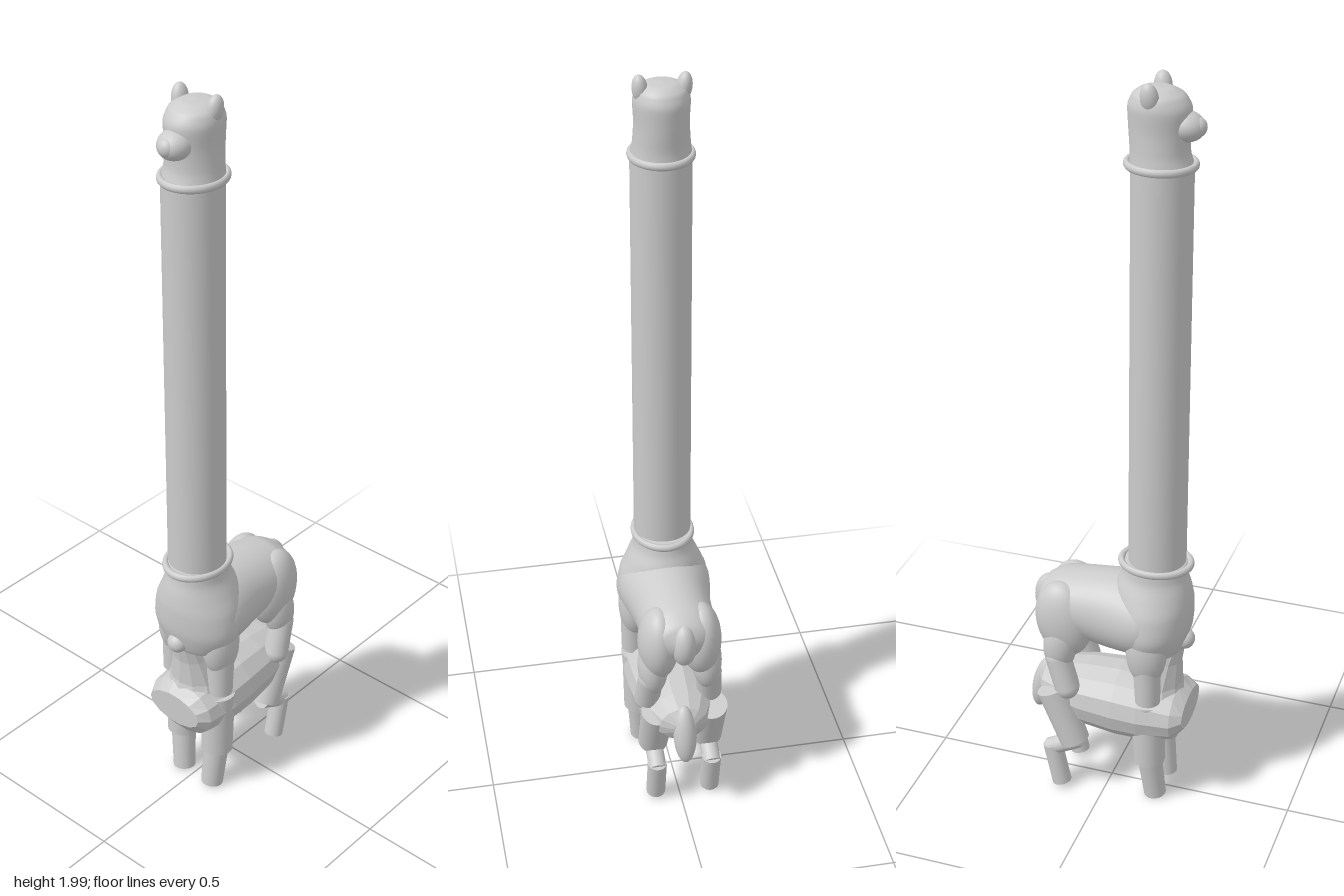
import * as THREE from 'three';

const smooth = new THREE.MeshStandardMaterial({ color: 0xcccccc });
const faceted = new THREE.MeshStandardMaterial({ color: 0xcccccc, flatShading: true });

// Closed skin over elliptical sections [station, centre, halfWidth, halfDepth].
// axis 'y': stations rise in y, centre is z.  axis 'z': stations run backwards in z, centre is y.
function loft(axis, sections, sides, steps) {
  const a = new THREE.CatmullRomCurve3(sections.map(s => new THREE.Vector3(s[0], s[1], 0)));
  const b = new THREE.CatmullRomCurve3(sections.map(s => new THREE.Vector3(s[2], s[3], 0)));
  const rows = (sections.length - 1) * steps;
  const pos = [], idx = [];
  const put = (x, station, v) => axis === 'y' ? pos.push(x, station, v) : pos.push(x, v, station);
  const ends = [];
  for (let i = 0; i <= rows; i++) {
    const p = a.getPoint(i / rows), r = b.getPoint(i / rows);
    if (i === 0 || i === rows) ends.push(p);
    for (let j = 0; j < sides; j++) {
      const t = (j / sides) * Math.PI * 2;
      put(r.x * Math.cos(t), p.x, p.y + r.y * Math.sin(t));
    }
  }
  ends.forEach(p => put(0, p.x, p.y));
  const first = (rows + 1) * sides, last = first + 1;
  for (let j = 0; j < sides; j++) {
    const k = (j + 1) % sides;
    for (let i = 0; i < rows; i++) {
      const p = i * sides + j, q = i * sides + k;
      idx.push(p, p + sides, q, q, p + sides, q + sides);
    }
    idx.push(first, j, k, last, rows * sides + k, rows * sides + j);
  }
  const g = new THREE.BufferGeometry();
  g.setAttribute('position', new THREE.Float32BufferAttribute(pos, 3));
  g.setIndex(idx);
  g.computeVertexNormals();
  return g;
}

export function createModel() {
  const model = new THREE.Group();
  const add = (name, geometry, material = smooth) => {
    const mesh = new THREE.Mesh(geometry, material);
    mesh.name = name;
    model.add(mesh);
    return mesh;
  };
  const blob = (name, [x, y, z], [rx, ry, rz], tilt = 0) => {
    const m = add(name, new THREE.SphereGeometry(1, 28, 20));
    m.position.set(x, y, z);
    m.scale.set(rx, ry, rz);
    m.rotation.x = tilt;
    return m;
  };
  // Cylinder or capsule running between two points
  const limb = (name, from, to, r0, r1 = r0, round = false) => {
    const p = new THREE.Vector3(...from), q = new THREE.Vector3(...to);
    const d = q.clone().sub(p), len = d.length();
    const g = round ? new THREE.CapsuleGeometry(r0, len, 8, 20)
      : new THREE.CylinderGeometry(r1, r0, len, 24);
    const m = add(name, g);
    m.position.copy(p).add(q).multiplyScalar(0.5);
    m.quaternion.setFromUnitVectors(new THREE.Vector3(0, 1, 0), d.normalize());
  };
  const collar = (name, y, z, rx, rz) => {
    const g = new THREE.TorusGeometry(1, 0.1, 12, 48).rotateX(Math.PI / 2);
    const m = add(name, g);
    m.position.set(0, y, z);
    m.scale.set(rx / 1.1, 0.1, rz / 1.1);
  };

  // Long neck with a collar at each end
  add('neck', new THREE.CylinderGeometry(0.075, 0.075, 1.1, 48)).position.set(0, 1.25, 0.123);
  collar('lowerCollar', 0.722, 0.12, 0.084, 0.1);
  collar('upperCollar', 1.797, 0.12, 0.082, 0.09);

  // Head
  add('head', loft('y', [
    [1.79, 0.122, 0.075, 0.078], [1.83, 0.117, 0.069, 0.071], [1.88, 0.115, 0.066, 0.073],
    [1.93, 0.115, 0.068, 0.076], [1.962, 0.112, 0.06, 0.062], [1.977, 0.108, 0.035, 0.036],
    [1.98, 0.108, 0.004, 0.004]], 36, 5));
  blob('muzzle', [0, 1.893, 0.178], [0.042, 0.036, 0.046], 0.15);
  blob('nose', [0, 1.893, 0.205], [0.024, 0.024, 0.023]);
  for (const s of [-1, 1]) {
    blob('ear', [s * 0.052, 1.965, 0.106], [0.019, 0.036, 0.022], -0.1).rotation.z = -s * 0.12;
  }

  // Upper animal: trunk, chest rising into the neck, rump and tail
  add('upperTrunk', loft('z', [
    [0.195, 0.575, 0.045, 0.05], [0.16, 0.565, 0.1, 0.095], [0.1, 0.56, 0.124, 0.11],
    [0, 0.557, 0.106, 0.107], [-0.08, 0.562, 0.099, 0.094], [-0.14, 0.568, 0.093, 0.077],
    [-0.18, 0.568, 0.07, 0.052], [-0.2, 0.568, 0.02, 0.02]], 36, 5));
  add('upperChest', loft('y', [
    [0.445, 0.12, 0.05, 0.04], [0.475, 0.12, 0.1, 0.078], [0.54, 0.122, 0.125, 0.095],
    [0.6, 0.118, 0.117, 0.102], [0.65, 0.115, 0.096, 0.1], [0.69, 0.118, 0.079, 0.087],
    [0.73, 0.12, 0.075, 0.08]], 36, 5));
  blob('upperTail', [0, 0.56, -0.175], [0.034, 0.062, 0.04]);
  for (const s of [-1, 1]) {
    blob('upperHaunch', [s * 0.056, 0.53, -0.115], [0.054, 0.11, 0.077], -0.15);
    blob('upperShoulder', [s * 0.077, 0.49, 0.12], [0.044, 0.1, 0.055]);
    limb('upperFrontLeg', [s * 0.078, 0.48, 0.122], [s * 0.08, 0.335, 0.126], 0.038, 0.033);
    blob('upperHindThigh', [s * 0.072, 0.46, -0.12], [0.04, 0.085, 0.046], 0.1);
    limb('upperHindLeg', [s * 0.078, 0.42, -0.125], [s * 0.084, 0.335, -0.098], 0.034, 0.034, true);
  }

  // Lower animal: faceted trunk and neck, small nose and drooping tail
  add('lowerTrunk', loft('z', [
    [0.22, 0.285, 0.085, 0.045], [0.19, 0.278, 0.105, 0.078], [0.1, 0.278, 0.114, 0.098],
    [0.03, 0.28, 0.113, 0.102], [-0.06, 0.283, 0.105, 0.094], [-0.13, 0.29, 0.092, 0.075],
    [-0.18, 0.298, 0.065, 0.052], [-0.2, 0.3, 0.03, 0.025]], 14, 1), faceted);
  add('lowerNeck', loft('y', [
    [0.29, 0.13, 0.1, 0.09], [0.36, 0.125, 0.074, 0.072], [0.43, 0.145, 0.052, 0.05],
    [0.5, 0.17, 0.035, 0.035]], 12, 1), faceted);
  blob('lowerNose', [0, 0.5, 0.2], [0.028, 0.028, 0.028]);
  blob('lowerTail', [0, 0.275, -0.195], [0.031, 0.083, 0.031], 0.22);

  // Lower front legs: thick sleeve over a thinner shin, one slightly turned in
  for (const [x, foot] of [[0.067, 0.06], [-0.057, -0.042]]) {
    limb('lowerFrontSleeve', [x, 0.32, 0.12], [x, 0.13, 0.125], 0.046, 0.042);
    limb('lowerFrontShin', [x, 0.16, 0.123], [foot, 0.012, 0.138], 0.034, 0.03);
  }

  // Lower hind legs: thigh, bent hock and foot
  for (const x of [0.065, -0.085]) {
    limb('lowerThigh', [x * 0.95, 0.32, -0.14], [x, 0.165, -0.077], 0.045, 0.04);
    limb('lowerHock', [x, 0.172, -0.062], [x, 0.125, -0.15], 0.024);
    limb('lowerFoot', [x, 0.14, -0.142], [x, 0.02, -0.116], 0.026);
  }
  return model;
}
